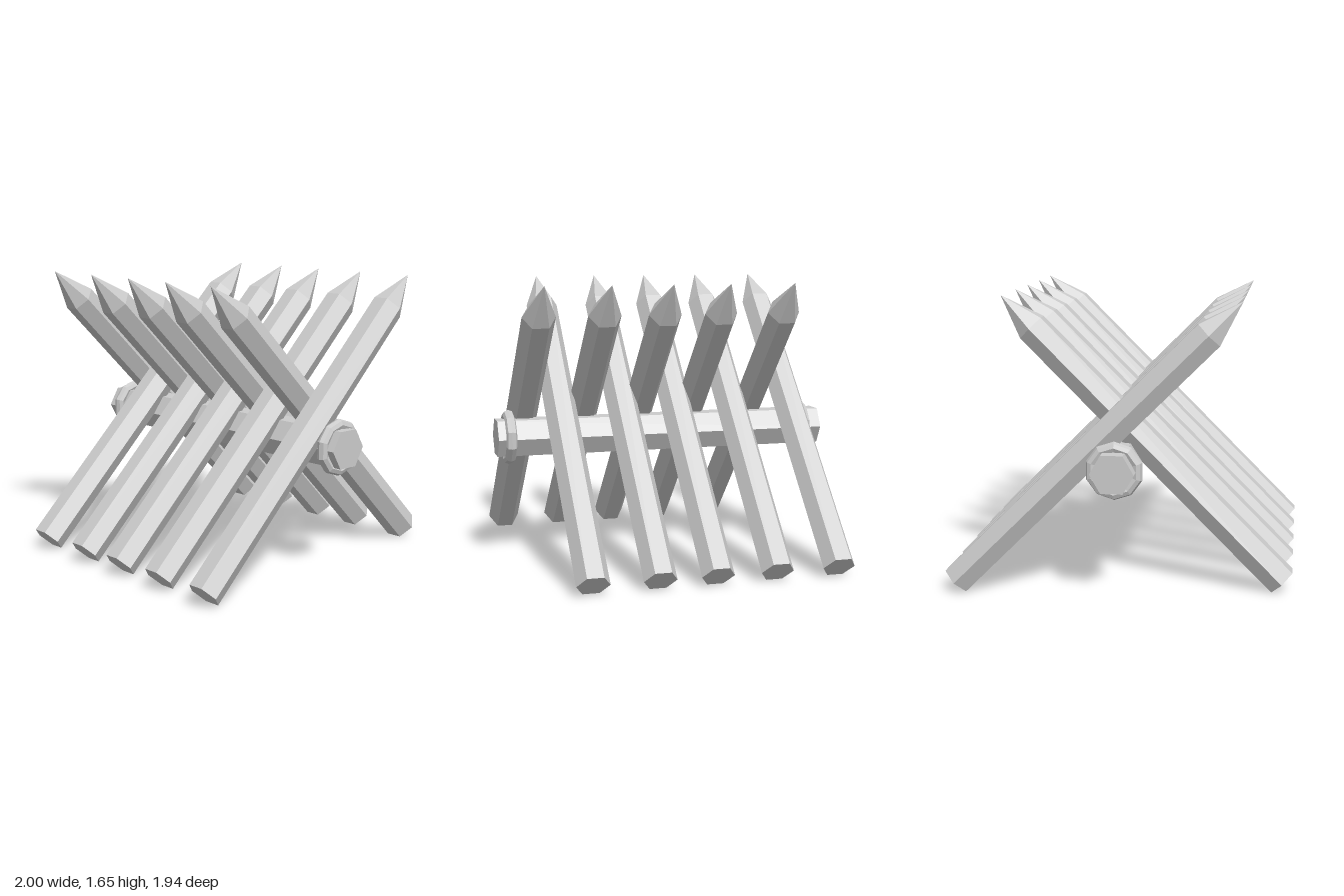
import * as THREE from 'three';

const material = new THREE.MeshStandardMaterial({ color: 0xcccccc, flatShading: true });

function addMesh(parent, name, geometry) {
  const mesh = new THREE.Mesh(geometry, material);
  mesh.name = name;
  parent.add(mesh);
  return mesh;
}

// Six-sided pole with a pointed tip; its foot is at the group's origin
function makeStake(name) {
  const radius = 0.095, shaftLength = 2.0, tipLength = 0.25;
  const stake = new THREE.Group();
  stake.name = name;
  const shaft = new THREE.CylinderGeometry(radius, radius, shaftLength, 6);
  shaft.rotateY(Math.PI / 2).translate(0, shaftLength / 2, 0);
  addMesh(stake, 'shaft', shaft);
  const tip = new THREE.ConeGeometry(radius, tipLength, 6, 1, true);
  tip.rotateY(Math.PI / 2).translate(0, shaftLength + tipLength / 2, 0);
  addMesh(stake, 'tip', tip);
  return stake;
}

export function createModel() {
  const model = new THREE.Group();
  model.name = 'stakeBarricade';

  // Two rows of stakes crossing at right angles above the beam
  const rows = [
    { name: 'frontFootStake', side: 1, xs: [-0.597, -0.22, 0.109, 0.457, 0.827] },
    { name: 'backFootStake', side: -1, xs: [-0.797, -0.428, -0.08, 0.25, 0.625] },
  ];
  for (const { name, side, xs } of rows) {
    for (const x of xs) {
      const stake = makeStake(name);
      stake.position.set(x, 0.059, side * 0.911);
      stake.rotation.x = -side * Math.PI / 4;
      model.add(stake);
    }
  }

  // Six-sided cross beam
  const beamY = 0.735;
  const beam = new THREE.CylinderGeometry(0.121, 0.121, 2, 6);
  addMesh(model, 'crossBeam', beam.rotateZ(Math.PI / 2)).position.y = beamY;

  // Faceted ring near each end of the beam
  for (const [name, x] of [['rightRing', -0.894], ['leftRing', 0.926]]) {
    const ring = new THREE.TorusGeometry(0.13, 0.032, 8, 10);
    ring.rotateZ(Math.PI / 2).rotateY(Math.PI / 2);
    addMesh(model, name, ring).position.set(x, beamY, 0);
  }
  return model;
}
